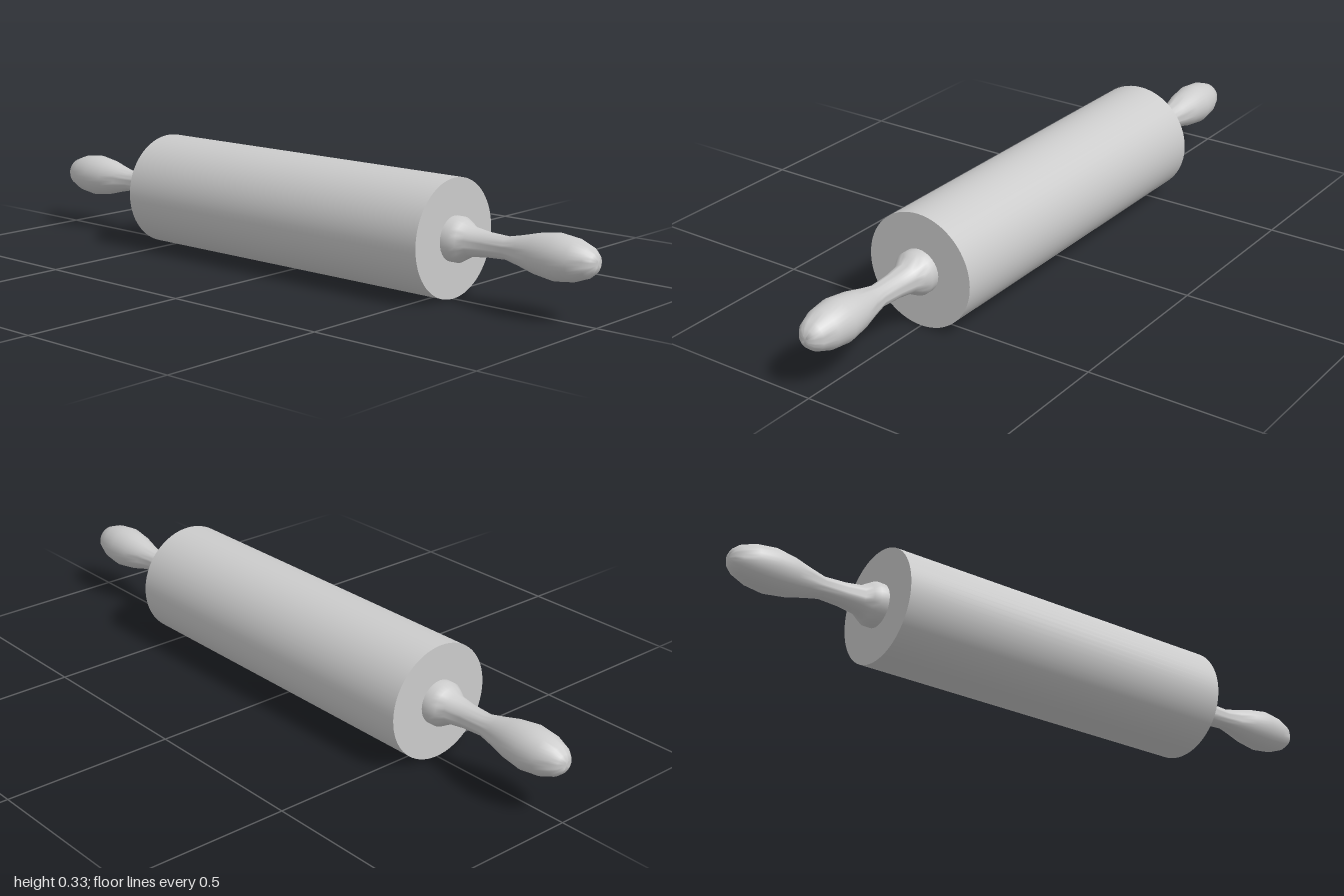
import * as THREE from 'three';
import { toCreasedNormals } from 'three/addons/utils/BufferGeometryUtils.js';

const RADIUS = 0.165;
const HALF_LENGTH = 0.55;

// Handle outline as [radius, distance from the middle of the pin]
const HANDLE_PROFILE = [
  [0, 0.545], [0.0625, 0.545], [0.0625, 0.573], [0.053, 0.59], [0.041, 0.61],
  [0.034, 0.66], [0.031, 0.725], [0.041, 0.77], [0.054, 0.82], [0.0625, 0.88],
  [0.056, 0.935], [0.041, 0.975], [0.027, 0.992], [0.012, 1], [0, 1],
];

export function createModel() {
  const model = new THREE.Group();
  model.name = 'rollingPin';
  const material = new THREE.MeshStandardMaterial({ color: 0xcccccc });

  // Main barrel, lying along z
  const barrelGeometry = new THREE.CylinderGeometry(RADIUS, RADIUS, HALF_LENGTH * 2, 64);
  barrelGeometry.rotateX(Math.PI / 2);
  const barrel = new THREE.Mesh(barrelGeometry, material);
  barrel.name = 'barrel';
  barrel.position.y = RADIUS;
  model.add(barrel);

  // Turned handles with a collar, slim neck and bulbous grip
  const points = HANDLE_PROFILE.map(([r, d]) => new THREE.Vector2(r, d));
  const lathe = new THREE.LatheGeometry(points, 32);
  lathe.rotateX(Math.PI / 2);
  const handleGeometry = toCreasedNormals(lathe, 0.8);
  for (const [name, turn] of [['frontHandle', 0], ['backHandle', Math.PI]]) {
    const handle = new THREE.Mesh(handleGeometry, material);
    handle.name = name;
    handle.position.y = RADIUS;
    handle.rotation.y = turn;
    model.add(handle);
  }

  return model;
}
